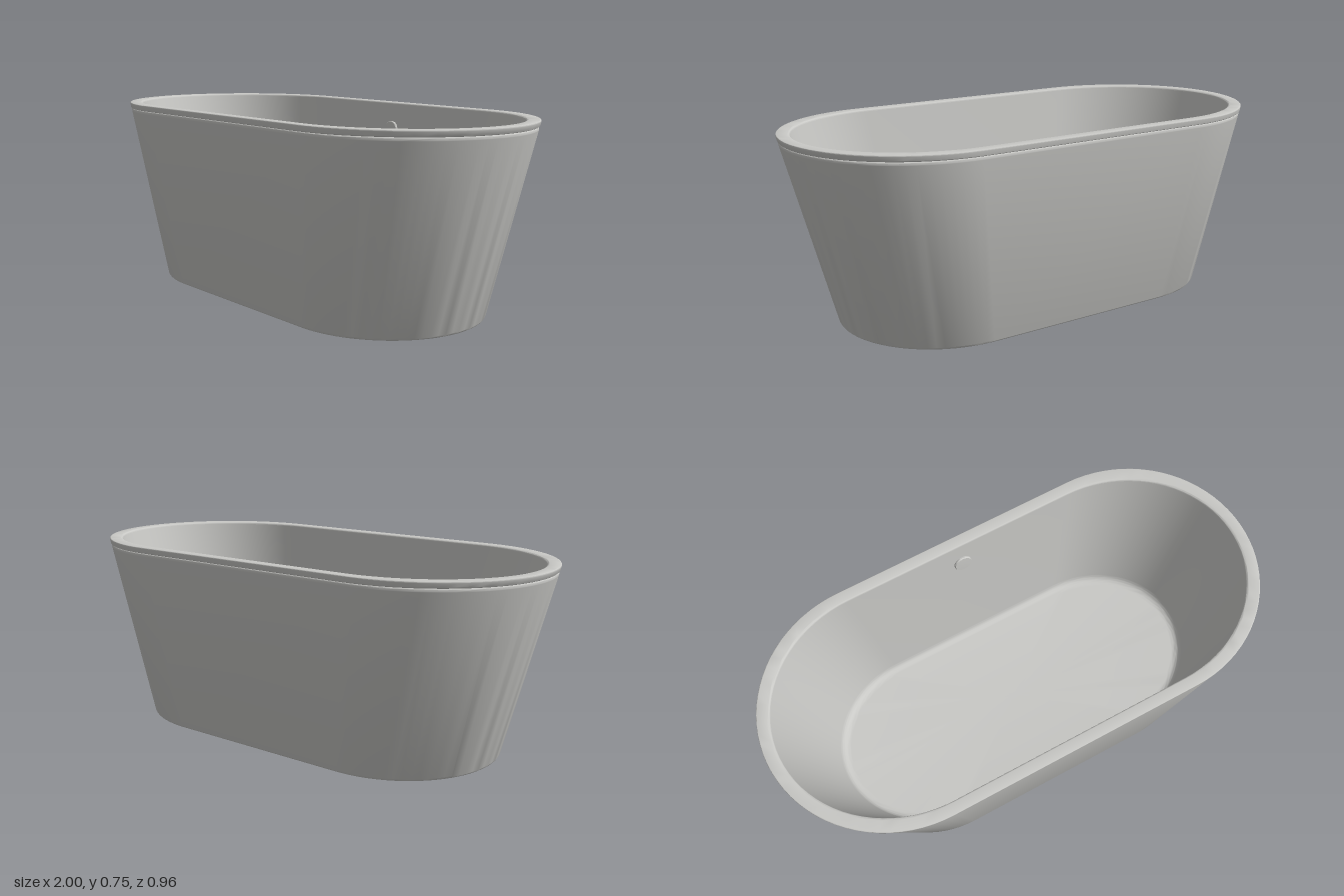
import * as THREE from 'three';
import { toCreasedNormals } from 'three/addons/utils/BufferGeometryUtils.js';

const ARC_STEPS = 40;

// Oval outline: two straight sides joined by half-ellipse ends, anticlockwise from above.
function ovalRing([y, halfLength, halfWidth]) {
  const straight = halfLength * 0.5;
  const ring = [];
  for (const side of [1, -1]) {
    for (let i = 0; i <= ARC_STEPS; i++) {
      const t = -Math.PI / 2 + (i / ARC_STEPS) * Math.PI;
      ring.push([
        side * (straight + (halfLength - straight) * Math.cos(t)), y,
        -side * halfWidth * Math.sin(t),
      ]);
    }
  }
  return ring;
}

// Skin a surface through ovals given as [height, half length, half width].
function loft(profile) {
  const rings = profile.map(ovalRing);
  const n = rings[0].length;
  const index = [];
  for (let j = 0; j < rings.length - 1; j++) {
    for (let i = 0; i < n; i++) {
      const k = (i + 1) % n;
      const a = j * n + i, b = j * n + k, c = a + n, d = b + n;
      if (profile[j][1] > 0) index.push(a, b, d);
      if (profile[j + 1][1] > 0) index.push(a, d, c);
    }
  }
  const geometry = new THREE.BufferGeometry();
  geometry.setAttribute('position', new THREE.Float32BufferAttribute(rings.flat(2), 3));
  geometry.setIndex(index);
  return toCreasedNormals(geometry, Math.PI / 6);
}

// Rounded corner between two profile points.
function fillet(from, corner, to, steps = 6) {
  const curve = new THREE.QuadraticBezierCurve3(
    ...[from, corner, to].map((p) => new THREE.Vector3(...p)));
  return curve.getPoints(steps).map((p) => p.toArray());
}

export function createModel() {
  const group = new THREE.Group();
  group.name = 'bathtub';
  const enamel = new THREE.MeshStandardMaterial({ color: 0xc8c8c5 });
  enamel.name = 'light grey enamel';

  const add = (name, geometry) => {
    const mesh = new THREE.Mesh(geometry, enamel);
    mesh.name = name;
    group.add(mesh);
    return mesh;
  };

  // Tapered outer wall with a flat base, turned in at the groove under the rim
  add('outerShell', loft([
    [0, 0, 0],
    ...fillet([0, 0.79, 0.376], [0, 0.799, 0.385], [0.01, 0.802, 0.387]),
    ...fillet([0.708, 0.991, 0.477], [0.72, 0.994, 0.479], [0.721, 0.985, 0.47]),
  ]));

  // Rim band with softened edges
  add('rim', loft([
    [0.721, 0.985, 0.47],
    ...fillet([0.721, 0.989, 0.475], [0.721, 0.995, 0.481], [0.727, 0.996, 0.481]),
    ...fillet([0.739, 0.999, 0.482], [0.745, 1, 0.483], [0.745, 0.995, 0.477]),
    ...fillet([0.745, 0.96, 0.444], [0.745, 0.952, 0.436], [0.737, 0.95, 0.435]),
  ]));

  // Sloping inside walls, curved into the flat floor
  add('basin', loft([
    [0.737, 0.95, 0.435],
    ...fillet([0.135, 0.785, 0.357], [0.1, 0.776, 0.353], [0.1, 0.745, 0.322], 10),
    [0.1, 0, 0],
  ]));

  // Round overflow cover lying against the back inside wall
  const coverProfile = [[0, -0.01], [0.036, -0.01], [0.037, 0.004], [0.034, 0.008], [0, 0.009]]
    .map(([r, h]) => new THREE.Vector2(r, h));
  const cover = add('overflowCover',
    toCreasedNormals(new THREE.LatheGeometry(coverProfile, 32), Math.PI / 6));
  cover.position.set(0, 0.63, -0.42);
  cover.rotation.x = Math.PI / 2 - 0.13;

  return group;
}
